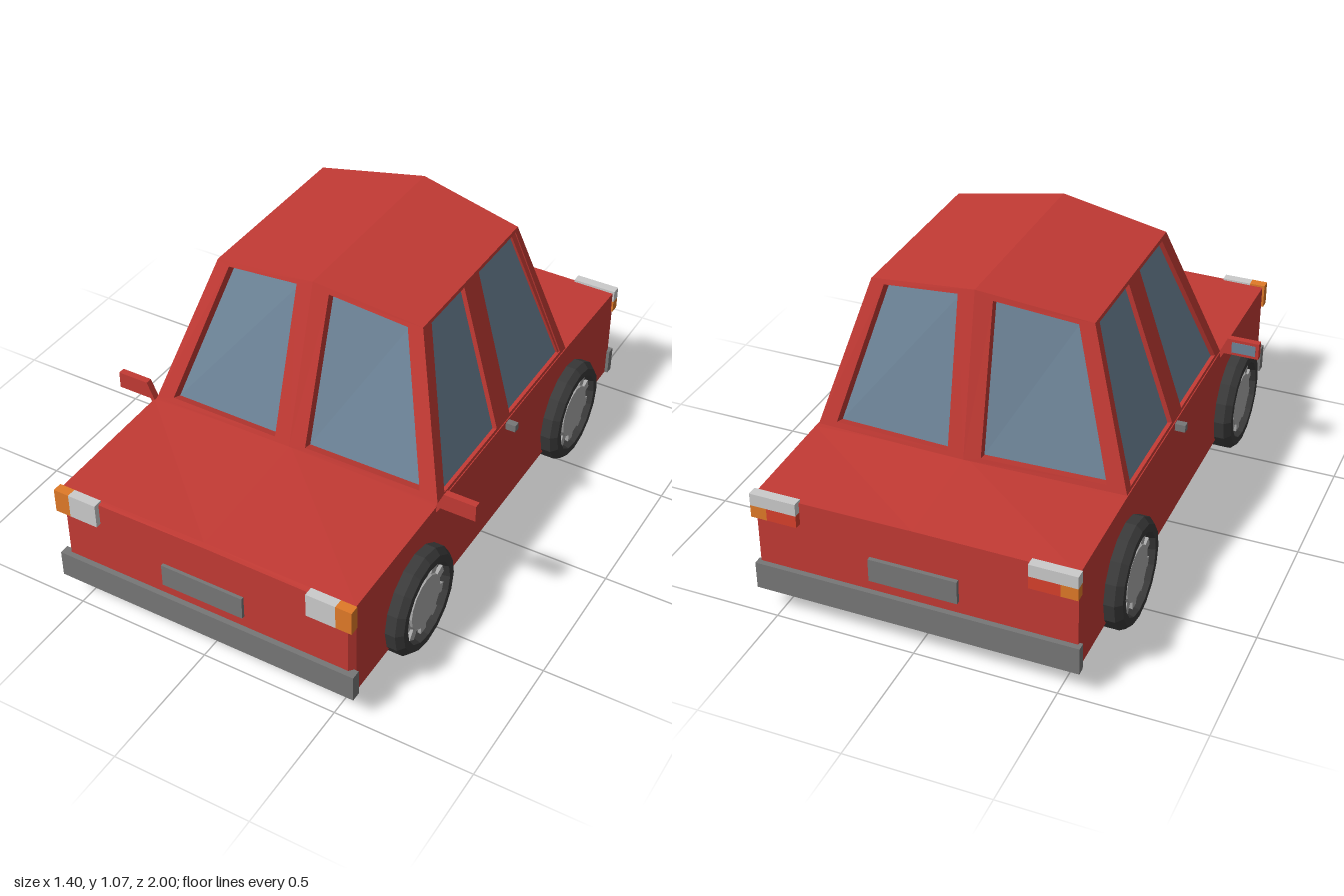
import * as THREE from 'three';

const mat = (color) => new THREE.MeshStandardMaterial({ color, flatShading: true });
const MAT = {
  red: mat(0xc23a34), glass: mat(0x6e8599), bumper: mat(0x777777), lamp: mat(0xcccccc),
  orange: mat(0xe07a28), tailRed: mat(0xd8402c), tyre: mat(0x3a3a3a), rim: mat(0xa8a8a8),
};

export function createModel() {
  const car = new THREE.Group();
  car.name = 'car';

  const add = (name, geometry, material, parent = car) => {
    const mesh = new THREE.Mesh(geometry, material);
    mesh.name = name;
    parent.add(mesh);
    return mesh;
  };
  // Box given by its x, y and z ranges
  const box = (name, material, [x0, x1], [y0, y1], [z0, z1]) =>
    add(name, new THREE.BoxGeometry(Math.abs(x1 - x0), y1 - y0, Math.abs(z1 - z0)), material)
      .position.set((x0 + x1) / 2, (y0 + y1) / 2, (z0 + z1) / 2);

  const polygon = (pts) => new THREE.Shape(pts.map(([u, v]) => new THREE.Vector2(u, v)));
  const UNIT = [[0, 0], [1, 0], [1, 1], [0, 1]];

  // Slab stretched over four corners (bottom left, bottom right, top right, top left from outside)
  function slab(corners, outline, holes, depth, sink) {
    const [a, b, c, d] = corners.map((p) => new THREE.Vector3(...p));
    const n = b.clone().sub(a).cross(d.clone().sub(a)).normalize();
    const shape = polygon(outline);
    shape.holes = holes.map(polygon);
    const geo = new THREE.ExtrudeGeometry(shape, { depth, bevelEnabled: false });
    const pos = geo.attributes.position;
    for (let i = 0; i < pos.count; i++) {
      const u = pos.getX(i), v = pos.getY(i), w = pos.getZ(i) - depth - sink;
      const low = a.clone().lerp(b, u), high = d.clone().lerp(c, u);
      const p = low.lerp(high, v).addScaledVector(n, w);
      pos.setXYZ(i, p.x, p.y, p.z);
    }
    geo.computeVertexNormals();
    return geo;
  }

  // Framed panel with recessed panes, built on both sides of the car
  function panelPair(name, corners, windows, depth) {
    const flip = ([x, y, z]) => [-x, y, z];
    const [a, b, c, d] = corners;
    const other = [b, a, d, c].map(flip);
    const otherWindows = windows.map((w) => w.map(([u, v]) => [1 - u, v]));
    for (const [q, ws] of [[corners, windows], [other, otherWindows]]) {
      add(name, slab(q, UNIT, ws, depth, 0), MAT.red);
      ws.forEach((w) => add(name + 'Glass', slab(q, w, [], 0.006, depth - 0.008), MAT.glass));
    }
  }

  // Lower body: sections from front to back as [z, half width, side height, centre height]
  const sections = [
    [0.98, 0.54, 0.465, 0.47], [0.96, 0.558, 0.468, 0.472], [0.44, 0.558, 0.476, 0.5],
    [-0.57, 0.558, 0.476, 0.496], [-0.975, 0.558, 0.465, 0.468],
  ];
  const verts = [], index = [], N = 5, last = (sections.length - 1) * N;
  sections.forEach(([z, w, side, mid], i) => {
    verts.push(-w, 0.095, z, w, 0.095, z, w, side, z, 0, mid, z, -w, side, z);
    if (i === sections.length - 1) return;
    for (let j = 0; j < N; j++) {
      const p = i * N + j, q = i * N + (j + 1) % N;
      index.push(p, p + N, q + N, p, q + N, q);
    }
  });
  for (let j = 1; j < N - 1; j++) index.push(0, j, j + 1, last, last + j + 1, last + j);
  const indexed = new THREE.BufferGeometry();
  indexed.setAttribute('position', new THREE.Float32BufferAttribute(verts, 3));
  indexed.setIndex(index);
  const body = indexed.toNonIndexed();
  body.computeVertexNormals();
  add('body', body, MAT.red);

  // Cabin corner points on the left half
  const frontBase = [0.555, 0.475, 0.43], frontBaseMid = [0, 0.5, 0.45];
  const rearBase = [0.555, 0.475, -0.55], rearBaseMid = [0, 0.496, -0.59];
  const frontTop = [0.39, 1.01, 0.25], frontTopMid = [0, 1.07, 0.28];
  const rearTop = [0.39, 1.01, -0.43], rearTopMid = [0, 1.07, -0.475];

  const screen = [[0.108, 0.03], [0.885, 0.04], [0.86, 0.967], [0.154, 0.965]];
  panelPair('windscreenFrame', [frontBaseMid, frontBase, frontTop, frontTopMid], [screen], 0.045);
  const rearScreen = screen.map(([u, v]) => [1 - u, v]);
  panelPair('rearScreenFrame', [rearBase, rearBaseMid, rearTopMid, rearTop], [rearScreen], 0.045);
  panelPair('sideFrame', [frontBase, rearBase, rearTop, frontTop], [
    [[0.05, 0.02], [0.44, 0.02], [0.41, 0.98], [0.08, 0.98]],
    [[0.54, 0.02], [0.96, 0.02], [0.965, 0.98], [0.56, 0.98]],
  ], 0.025);
  panelPair('roof', [frontTopMid, frontTop, rearTop, rearTopMid], [], 0.02);

  // Bumpers and plates
  box('frontBumper', MAT.bumper, [-0.57, 0.57], [0.095, 0.195], [0.965, 1]);
  box('rearBumper', MAT.bumper, [-0.57, 0.57], [0.095, 0.195], [-0.995, -0.965]);
  box('frontPlate', MAT.bumper, [-0.155, 0.155], [0.24, 0.325], [0.97, 0.992]);
  box('rearPlate', MAT.bumper, [-0.155, 0.155], [0.24, 0.325], [-0.99, -0.965]);

  for (const s of [1, -1]) {
    // Lamps
    box('headlight', MAT.lamp, [s * 0.4, s * 0.507], [0.385, 0.475], [0.965, 1]);
    box('indicator', MAT.orange, [s * 0.507, s * 0.565], [0.385, 0.475], [0.965, 1]);
    box('reverseLight', MAT.lamp, [s * 0.4, s * 0.565], [0.43, 0.475], [-1, -0.965]);
    box('brakeLight', MAT.tailRed, [s * 0.4, s * 0.507], [0.385, 0.43], [-1, -0.965]);
    box('rearIndicator', MAT.orange, [s * 0.507, s * 0.565], [0.385, 0.43], [-1, -0.965]);

    // Door handle
    box('doorHandle', MAT.bumper, [s * 0.55, s * 0.595], [0.445, 0.472], [-0.085, -0.06]);

    // Wing mirror with its stalk
    const mirror = polygon([[0.545, 0.455], [0.56, 0.455], [0.572, 0.477], [0.7, 0.477],
      [0.7, 0.54], [0.583, 0.54]].map(([x, y]) => [s * x, y]));
    const housing = new THREE.ExtrudeGeometry(mirror, { depth: 0.025, bevelEnabled: false });
    add('wingMirror', housing, MAT.red).position.z = 0.42;
    box('mirrorGlass', MAT.glass, [s * 0.6, s * 0.688], [0.488, 0.529], [0.418, 0.425]);

    // Wheels: the lathe axis is turned to point outwards
    for (const z of [0.587, -0.567]) {
      const wheel = new THREE.Group();
      wheel.name = z > 0 ? 'frontWheel' : 'rearWheel';
      wheel.position.set(0, 0.192, z);
      wheel.rotation.z = -s * Math.PI / 2;
      car.add(wheel);
      const profile = [[0, 0.375], [0.192, 0.375], [0.192, 0.595], [0.172, 0.617],
        [0.145, 0.617], [0.137, 0.585], [0, 0.585]];
      add('tyre', new THREE.LatheGeometry(profile.map(([r, h]) => new THREE.Vector2(r, h)), 16),
        MAT.tyre, wheel);
      add('hub', new THREE.CylinderGeometry(0.098, 0.104, 0.025, 16), MAT.rim, wheel).position.y = 0.593;
      for (let i = 0; i < 10; i++) {
        const t = (i / 10) * Math.PI * 2;
        const spoke = add('spoke', new THREE.BoxGeometry(0.045, 0.016, 0.036), MAT.rim, wheel);
        spoke.position.set(Math.cos(t) * 0.114, 0.59, -Math.sin(t) * 0.114);
        spoke.rotation.y = t;
      }
    }
  }
  return car;
}
